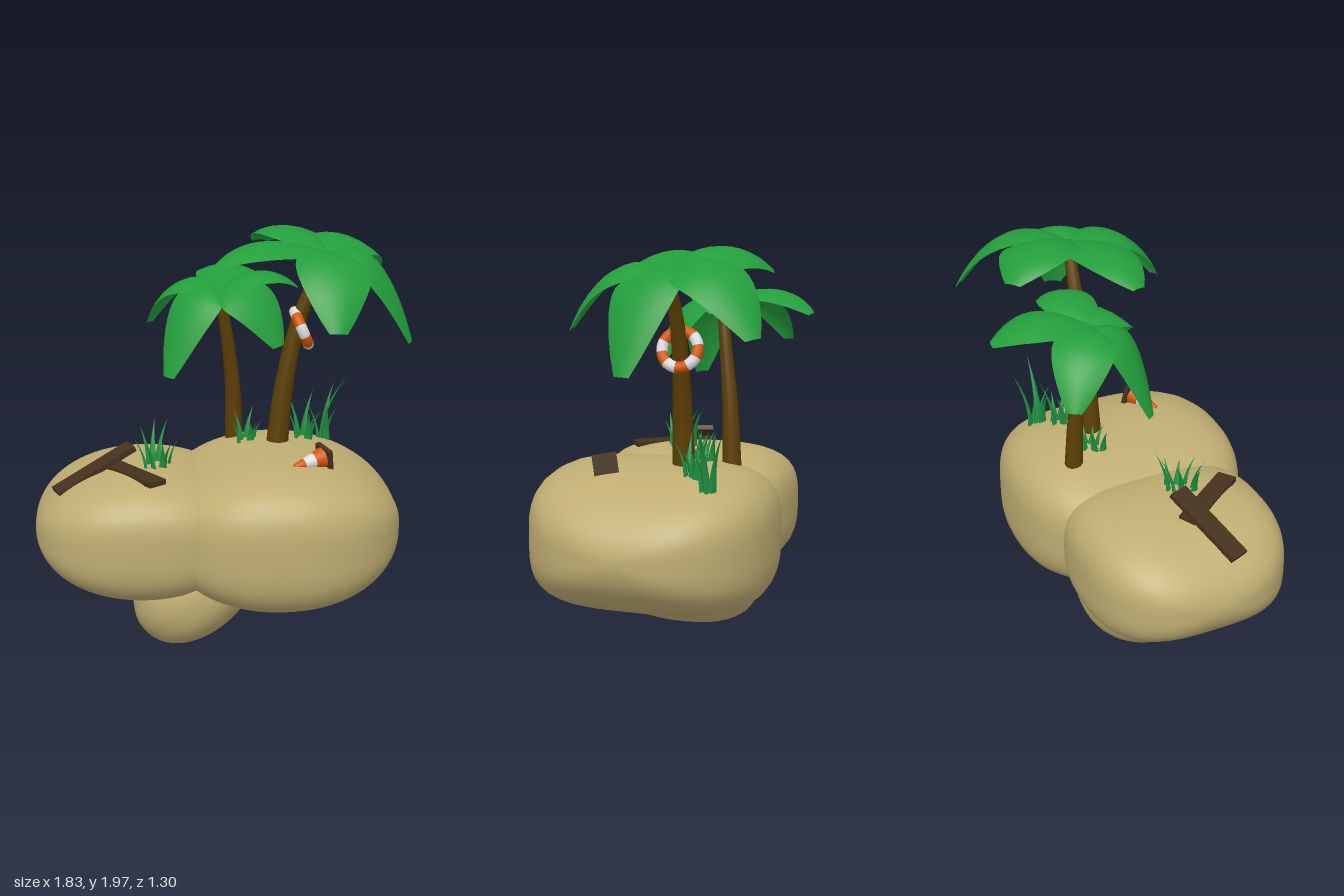
import * as THREE from 'three';
import { mergeVertices } from 'three/addons/utils/BufferGeometryUtils.js';

const V = (x, y, z) => new THREE.Vector3(x, y, z);

function material(name, color, side = THREE.FrontSide) {
  const m = new THREE.MeshStandardMaterial({ color, side });
  m.name = name;
  return m;
}

// Rounded sand boulder: boxy in cross-section, round along its length
function boulder(a, b, c, boxy, roundness) {
  const g = new THREE.SphereGeometry(1, 56, 40).rotateZ(Math.PI / 2);
  g.deleteAttribute('uv');
  g.deleteAttribute('normal');
  const p = g.attributes.position;
  for (let i = 0; i < p.count; i++) {
    const x = THREE.MathUtils.clamp(p.getX(i), -1, 1);
    const ang = Math.atan2(p.getZ(i), p.getY(i));
    const cy = Math.cos(ang), cz = Math.sin(ang);
    const k = (Math.abs(cy) ** boxy + Math.abs(cz) ** boxy) ** (-1 / boxy);
    const sy = Math.sqrt(1 - x * x);
    const sz = (1 - Math.abs(x) ** roundness) ** (1 / roundness);
    p.setXYZ(i, a * x, b * sy * cy * k, c * sz * cz * k);
  }
  const merged = mergeVertices(g, 1e-5);
  merged.computeVertexNormals();
  return merged;
}

// Curved trunk that narrows towards the crown
function trunk(points, r0, r1) {
  const path = new THREE.CatmullRomCurve3(points);
  const rings = 16, sides = 14;
  const g = new THREE.TubeGeometry(path, rings, r0, sides);
  const p = g.attributes.position, v = V(0, 0, 0);
  for (let i = 0; i < p.count; i++) {
    const t = Math.floor(i / (sides + 1)) / rings;
    const centre = path.getPointAt(t);
    v.fromBufferAttribute(p, i).sub(centre).multiplyScalar(1 + (r1 / r0 - 1) * t).add(centre);
    p.setXYZ(i, v.x, v.y, v.z);
  }
  g.computeVertexNormals();
  return g;
}

// Broad arching leaf from crown to tip; a positive bank lowers its right edge
function leaf(crown, tip, peak, halfWidth, bank) {
  const ctrl = crown.clone().lerp(tip, 0.62).setY(peak);
  const path = new THREE.QuadraticBezierCurve3(crown, ctrl, tip);
  const side = tip.clone().sub(crown).setY(0).normalize().cross(V(0, 1, 0));
  const g = new THREE.PlaneGeometry(1, 1, 6, 12);
  const p = g.attributes.position;
  for (let i = 0; i < p.count; i++) {
    const v = p.getX(i) * 2, t = p.getY(i) + 0.5;
    const w = halfWidth * Math.sin(Math.PI * (0.06 + 0.9 * t ** 0.9)) ** 0.7;
    const up = side.clone().cross(path.getTangent(t));
    const drop = bank * v + 0.25 * v * v;
    const q = path.getPoint(t).addScaledVector(side, v * w).addScaledVector(up, -drop * w);
    p.setXYZ(i, q.x, q.y, q.z);
  }
  g.computeVertexNormals();
  return g;
}

// Slim grass blade bent along +x
function blade(height, lean, width) {
  const g = new THREE.ConeGeometry(width, height, 6, 5).translate(0, height / 2, 0).scale(0.45, 1, 1);
  const p = g.attributes.position;
  for (let i = 0; i < p.count; i++) {
    const t = p.getY(i) / height;
    p.setX(i, p.getX(i) + lean * t * t);
  }
  g.computeVertexNormals();
  return g;
}

export function createModel() {
  const model = new THREE.Group();
  model.name = 'floatingIsland';
  const sand = material('sand', 0xbfad72);
  const bark = material('bark', 0x5c3f04);
  const leafGreen = material('leafGreen', 0x249f3c, THREE.DoubleSide);
  const grassGreen = material('grassGreen', 0x1f9040);
  const wood = material('wood', 0x45311d);
  const orange = material('orange', 0xd45602);
  const white = material('white', 0xdcdcdc);

  function add(parent, name, geometry, mat, x = 0, y = 0, z = 0) {
    const m = new THREE.Mesh(geometry, mat);
    m.name = name;
    m.position.set(x, y, z);
    parent.add(m);
    return m;
  }
  function group(name) {
    const g = new THREE.Group();
    g.name = name;
    model.add(g);
    return g;
  }

  // Sand boulders
  const island = group('island');
  add(island, 'rightBoulder', boulder(0.6, 0.357, 0.587, 3.5, 2.3), sand, 0.25, 0.593, 0.065);
  add(island, 'leftBoulder', boulder(0.53, 0.31, 0.495, 3.3, 2.5), sand, -0.39, 0.595, 0.055);
  add(island, 'lowerBoulder', boulder(0.365, 0.24, 0.4, 2.4, 2.3), sand, -0.138, 0.307, 0.065).rotation.z = 0.73;

  // Palms: trunk points, radii, then leaves as [tip, peak, half width, bank]
  const palms = [
    {
      name: 'tallPalm', radii: [0.056, 0.026],
      path: [V(0.265, 0.88, -0.08), V(0.305, 1.25, -0.085), V(0.385, 1.6, -0.09), V(0.51, 1.88, -0.08)],
      leaves: [
        [V(0.5, 1.6, 0.39), 2.0, 0.18, -0.15],
        [V(0.91, 1.46, 0.0), 1.99, 0.175, 0.12],
        [V(0.77, 1.63, -0.56), 2.05, 0.17, 0.25],
        [V(0.21, 1.87, -0.49), 2.07, 0.19, 0.15],
        [V(-0.04, 1.85, 0.04), 2.02, 0.15, -0.08],
      ],
    },
    {
      name: 'shortPalm', radii: [0.046, 0.024],
      path: [V(0.07, 0.88, -0.26), V(0.06, 1.2, -0.245), V(0.03, 1.45, -0.215), V(-0.01, 1.69, -0.18)],
      leaves: [
        [V(0.27, 1.45, 0.02), 1.8, 0.16, 0.25],
        [V(-0.27, 1.3, 0.0), 1.78, 0.14, -0.2],
        [V(-0.35, 1.47, -0.43), 1.82, 0.145, -0.1],
        [V(0.09, 1.66, -0.65), 1.84, 0.15, 0],
        [V(0.38, 1.68, -0.27), 1.84, 0.13, 0],
      ],
    },
  ];
  for (const { name, radii, path, leaves } of palms) {
    const palm = group(name);
    add(palm, 'trunk', trunk(path, ...radii), bark);
    for (const shape of leaves) add(palm, 'leaf', leaf(path[3], ...shape), leafGreen);
  }

  // Grass tufts: x, y, z, height, blades, spread
  const tufts = [
    [-0.33, 0.87, 0.12, 0.23, 8, 0.07],
    [0.12, 0.92, -0.13, 0.17, 6, 0.05],
    [0.41, 0.91, -0.17, 0.24, 6, 0.05],
    [0.52, 0.88, -0.27, 0.28, 4, 0.035],
  ];
  for (const [x, y, z, h, n, spread] of tufts) {
    const tuft = group('grassTuft');
    tuft.position.set(x, y, z);
    for (let i = 0; i < n; i++) {
      const a = i * 2.4, r = spread * (0.5 + 0.5 * ((i * 3) % 4) / 3);
      const height = h * (0.65 + 0.35 * ((i * 2) % 5) / 4);
      const b = add(tuft, 'blade', blade(height, height * 0.32, 0.023), grassGreen, r * Math.cos(a), 0, r * Math.sin(a));
      b.rotation.y = -a - 0.7;
    }
  }
  add(model, 'tallBlade', blade(0.33, 0.13, 0.026), grassGreen, 0.51, 0.89, -0.26);

  // Planks
  const planks = group('planks');
  const upper = add(planks, 'raisedPlank', new THREE.BoxGeometry(0.43, 0.025, 0.1), wood, -0.63, 0.885, 0.115);
  upper.rotation.set(0, 0.36, 0.43, 'YZX');
  const lower = add(planks, 'flatPlank', new THREE.BoxGeometry(0.42, 0.025, 0.095), wood, -0.455, 0.893, 0.205);
  lower.rotation.y = -0.94;

  // Fallen traffic cone in stacked bands
  const cone = group('trafficCone');
  cone.position.set(0.465, 0.963, 0.24);
  cone.rotation.set(0.12, 0.44, Math.PI / 2 + 0.16, 'YXZ');
  add(cone, 'conePlate', new THREE.BoxGeometry(0.105, 0.024, 0.115), wood);
  const radii = [0.05, 0.038, 0.026, 0.014];
  for (let i = 0; i < 3; i++) {
    add(cone, 'coneBand', new THREE.CylinderGeometry(radii[i + 1], radii[i], 0.052, 16),
      i === 1 ? white : orange, 0, 0.037 + i * 0.052, 0);
  }

  // Striped life ring hung around the tall trunk
  const ring = group('lifeRing');
  ring.position.set(0.385, 1.51, -0.1);
  ring.quaternion.setFromUnitVectors(V(0, 0, 1), V(0.2, 0.085, 0).normalize());
  const count = 10, arc = Math.PI * 2 / count;
  for (let i = 0; i < count; i++) {
    add(ring, 'ringSegment', new THREE.TorusGeometry(0.086, 0.027, 12, 5, arc), i % 2 ? white : orange).rotation.z = i * arc;
  }
  return model;
}
